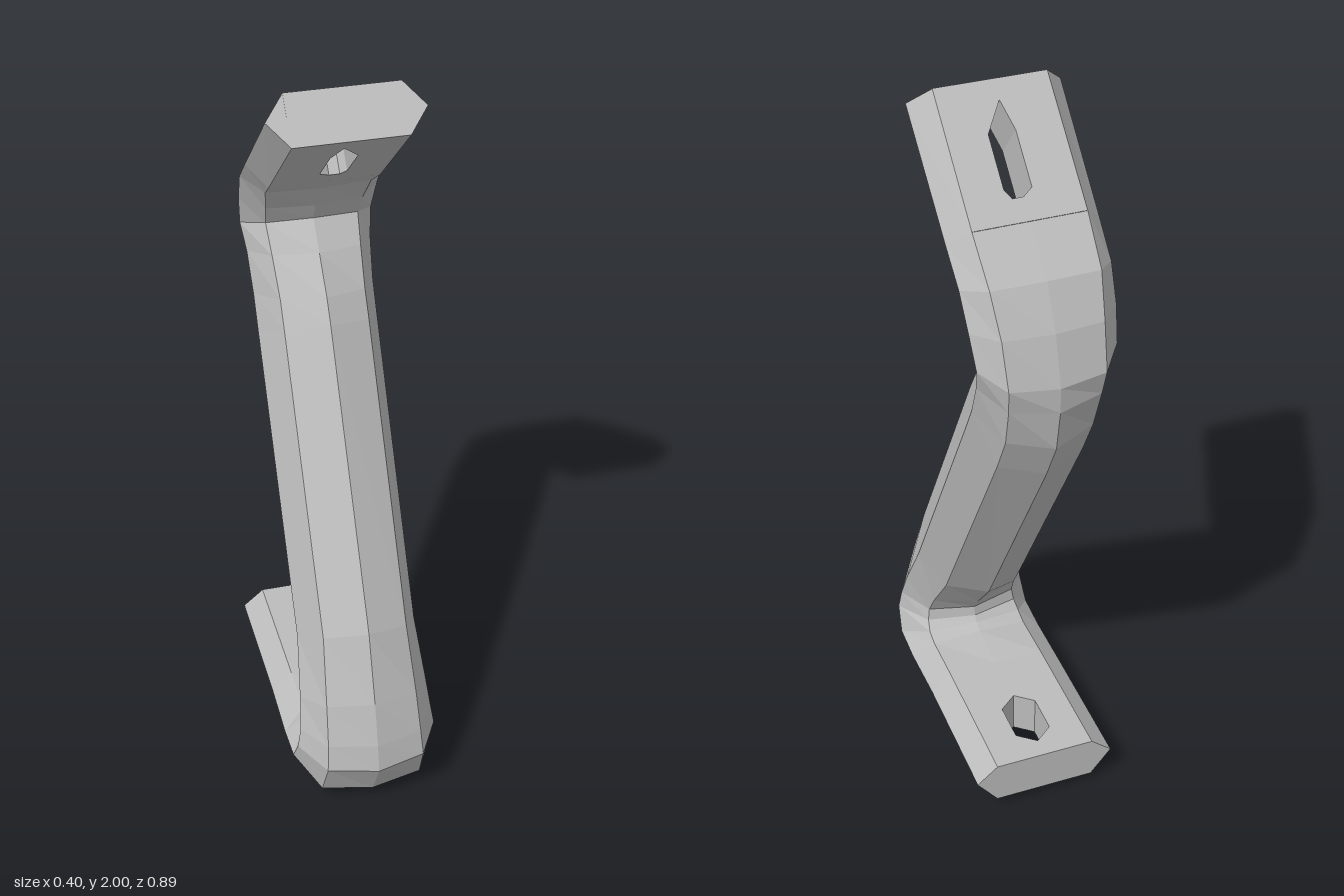
import * as THREE from 'three';

const metal = new THREE.MeshStandardMaterial({ color: 0xbcbcbc, flatShading: true });
metal.name = 'plain grey metal';

// Eight-sided sections along the bent bar, from the upper tab to the lower tab:
// front z, y, back z, y, half width, half width of the flat, corner inset, side ridge position
const SECTIONS = [
  [0.13, 1.90, 0.04, 2.00, 0.198, 0.145, 0, 0.5],
  [-0.14, 1.66, -0.23, 1.76, 0.195, 0.145, 0, 0.5],
  [-0.20, 1.61, -0.34, 1.66, 0.193, 0.14, 0.04, 0.5],
  [-0.24, 1.54, -0.40, 1.55, 0.188, 0.13, 0.08, 0.5],
  [-0.265, 1.49, -0.44, 1.42, 0.18, 0.125, 0.1, 0.5],
  [-0.20, 1.42, -0.44, 1.35, 0.17, 0.12, 0.13, 0.5],
  [-0.12, 1.33, -0.42, 1.23, 0.165, 0.115, 0.15, 0.5],
  [-0.08, 1.27, -0.36, 1.11, 0.165, 0.115, 0.15, 0.5],
  [0.33, 0.55, 0.06, 0.38, 0.165, 0.115, 0.15, 0.5],
  [0.40, 0.36, 0.15, 0.27, 0.178, 0.125, 0.14, 0.5],
  [0.435, 0.24, 0.185, 0.22, 0.186, 0.13, 0.13, 0.5],
  [0.45, 0.16, 0.18, 0.19, 0.195, 0.135, 0.12, 0.5],
  [0.39, 0.04, 0.165, 0.175, 0.2, 0.14, 0.09, 0.5],
  [0.22, 0.005, 0.14, 0.16, 0.2, 0.14, 0.06, 0.6],
  [0, 0.03, 0, 0.155, 0.198, 0.14, 0, 0.6],
  [-0.39, 0.03, -0.39, 0.155, 0.198, 0.14, 0, 0.6],
];

// Ring of eight points: front, +x side, back, -x side
function ring([fz, fy, bz, by, w, d, k, tip]) {
  const at = (x, t) => [x, fy + (by - fy) * t, fz + (bz - fz) * t];
  return [at(0, 0), at(d, k), at(w, tip), at(d, 1 - k), at(0, 1), at(-d, 1 - k), at(-w, tip), at(-d, k)];
}

// Skin of the bar; the flats of both tabs are left open for the slotted plates
function barGeometry() {
  const rings = SECTIONS.map(ring);
  const last = rings.length - 1;
  const pos = [];
  const tri = (a, b, c) => pos.push(...a, ...b, ...c);
  for (let i = 0; i < last; i++) {
    const isTab = i === 0 || i === last - 1;
    for (let j = 0; j < 8; j++) {
      if (isTab && [7, 0, 3, 4].includes(j)) continue;
      const n = (j + 1) % 8;
      const a = rings[i][j], b = rings[i][n], c = rings[i + 1][n], e = rings[i + 1][j];
      tri(a, e, c);
      tri(a, c, b);
    }
  }
  // Ends of the bevelled tab edges
  for (const j of [1, 5]) {
    tri(rings[0][j], rings[0][j + 1], rings[0][j + 2]);
    tri(rings[last][j + 2], rings[last][j + 1], rings[last][j]);
  }
  const g = new THREE.BufferGeometry();
  g.setAttribute('position', new THREE.Float32BufferAttribute(pos, 3));
  g.computeVertexNormals();
  return g;
}

// Flat plate between two sections, with a slot given as [x, distance along plate]
function slottedPlate(a, b, slot, name) {
  const start = new THREE.Vector3(0, a[1], a[0]);
  const along = new THREE.Vector3(0, b[1], b[0]).sub(start);
  const through = new THREE.Vector3(0, a[3], a[2]).sub(start);
  const length = along.length(), depth = through.length();
  const d = a[5];
  const shape = new THREE.Shape([[-d, 0], [d, 0], [d, length], [-d, length]].map(p => new THREE.Vector2(...p)));
  shape.holes.push(new THREE.Path(slot.map(p => new THREE.Vector2(...p))));
  const g = new THREE.ExtrudeGeometry(shape, { depth, bevelEnabled: false });
  const x = new THREE.Vector3(1, 0, 0);
  along.normalize();
  g.applyMatrix4(new THREE.Matrix4().makeBasis(x, along, x.clone().cross(along)).setPosition(start));
  const mesh = new THREE.Mesh(g, metal);
  mesh.name = name;
  return mesh;
}

export function createModel() {
  const group = new THREE.Group();
  group.name = 'bentBracket';

  const bar = new THREE.Mesh(barGeometry(), metal);
  bar.name = 'bentBar';
  group.add(bar);

  // Upper slot is pointed at its outer end
  const upperSlot = [[-0.008, 0.055], [0.042, 0.135], [0.042, 0.275], [0.028, 0.3], [0, 0.3], [-0.027, 0.28], [-0.027, 0.135]];
  // Lower slot is a long hexagon
  const lowerSlot = [[0, 0.145], [0.05, 0.185], [0.05, 0.295], [0, 0.335], [-0.05, 0.295], [-0.05, 0.185]];
  const n = SECTIONS.length;
  group.add(slottedPlate(SECTIONS[0], SECTIONS[1], upperSlot, 'upperTab'));
  group.add(slottedPlate(SECTIONS[n - 2], SECTIONS[n - 1], lowerSlot, 'lowerTab'));
  return group;
}
